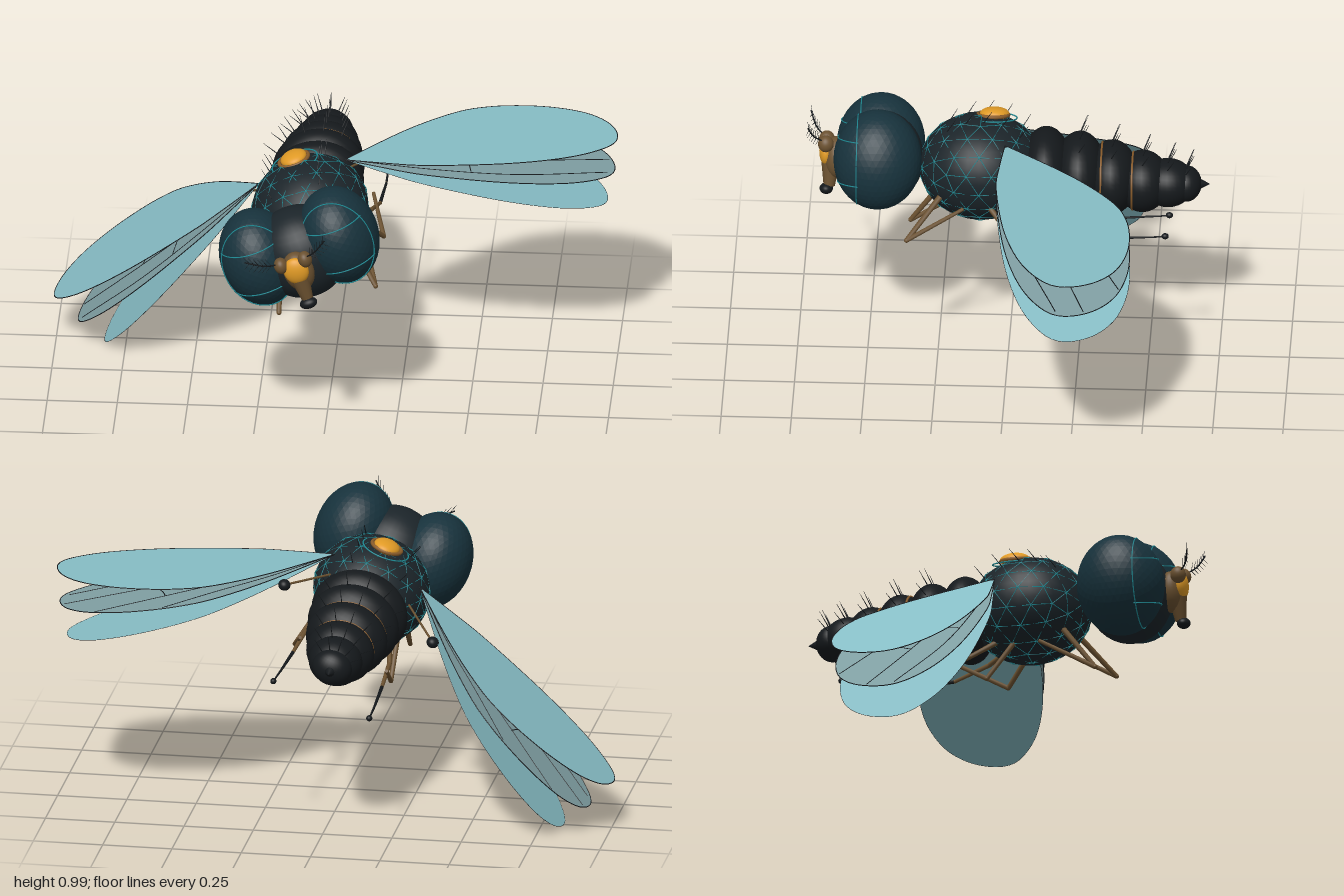
import * as THREE from 'three';
import { mergeGeometries } from 'three/addons/utils/BufferGeometryUtils.js';

const mat = (color, extra = {}) => new THREE.MeshStandardMaterial({ color, ...extra });
const V = (x, y, z) => new THREE.Vector3(x, y, z);

export function createModel() {
  const eyeMat = mat(0x17323c, { flatShading: true });
  const shell = mat(0x1b2429);
  const dark = mat(0x15191c);
  const teal = mat(0x1f8c96);
  const amber = mat(0xe09a25);
  const brown = mat(0x6b5130);
  const bronze = mat(0x8a5c2a);
  const wingMats = [0x86bcc4, 0x7f9ea2, 0x86bcc4].map(c => mat(c, { side: THREE.DoubleSide }));

  const model = new THREE.Group();
  model.name = 'fly';
  // the whole insect banks to one side
  const body = new THREE.Group();
  body.name = 'bankedBody';
  body.position.set(-0.073, 0.725, 0);
  body.rotation.z = 0.332;
  model.add(body);

  const add = (name, geometry, material, parent = body) => {
    const mesh = new THREE.Mesh(geometry, material);
    mesh.name = name;
    parent.add(mesh);
    return mesh;
  };
  const ball = (name, material, p, r, parent) => {
    const m = add(name, new THREE.SphereGeometry(1, 32, 20), material, parent);
    m.position.set(...p);
    m.scale.set(...r);
    return m;
  };
  // tapered rod between two points
  const rod = (a, b, r0, r1 = r0, sides = 6) => {
    const d = b.clone().sub(a);
    const g = new THREE.CylinderGeometry(r1, r0, d.length(), sides);
    g.applyQuaternion(new THREE.Quaternion().setFromUnitVectors(V(0, 1, 0), d.normalize()));
    return g.translate((a.x + b.x) / 2, (a.y + b.y) / 2, (a.z + b.z) / 2);
  };
  const tube = (points, r, closed = false, segments = 48) =>
    new THREE.TubeGeometry(new THREE.CatmullRomCurve3(points, closed), segments, r, 5, closed);

  // thorax with a raised triangular lattice
  const T = V(0.21, 0.192, 0.22), tz = 0.1;
  ball('thorax', shell, [0, 0, tz], T.toArray());
  const edges = new THREE.EdgesGeometry(new THREE.IcosahedronGeometry(1.012, 2), 0.1).attributes.position;
  const lattice = [];
  for (let i = 0; i < edges.count; i += 2) {
    const [a, b] = [i, i + 1].map(k => V().fromBufferAttribute(edges, k).multiply(T));
    lattice.push(rod(a, b, 0.0014, 0.0014, 4));
  }
  add('thoraxLattice', mergeGeometries(lattice), teal).position.z = tz;

  // amber dome on the back
  ball('backDome', amber, [0, 0.19, 0.055], [0.048, 0.024, 0.053]);
  for (const [r, t, y, m] of [[0.054, 0.007, 0.187, bronze], [0.085, 0.0025, 0.176, teal]]) {
    const ring = add('domeRing', new THREE.TorusGeometry(r, t, 8, 40), m);
    ring.rotation.x = Math.PI / 2;
    ring.position.set(0, y, 0.06);
  }

  // abdomen: overlapping swollen segments, ringed towards the tail
  const hairs = [];
  const segments = [[-0.13, 0.175, -0.012], [-0.25, 0.166, -0.018], [-0.365, 0.148, -0.03],
    [-0.475, 0.123, -0.042], [-0.565, 0.097, -0.046], [-0.63, 0.072, -0.048]];
  segments.forEach(([z, r, y], i) => {
    ball('abdomenSegment', dark, [0, y, z], [r, r * 0.9, i < 5 ? 0.095 : 0.055]);
    if (i > 1) {
      const ring = add('abdomenRing', new THREE.TorusGeometry(r * 0.93, 0.004, 6, 40), bronze);
      ring.scale.y = 0.9;
      ring.position.set(0, y, z + 0.035);
    }
    if (i > 0) for (let k = -2; k <= 2; k++) {
      const a = k * 0.42, s = Math.sin(a), c = Math.cos(a);
      hairs.push(rod(V(s * r * 0.97, y + c * r * 0.87, z), V(s * (r + 0.05), y + c * (r * 0.9 + 0.06), z - 0.025), 0.0022, 0.0006, 4));
    }
  });
  const tail = add('tailTip', new THREE.ConeGeometry(0.045, 0.085, 20), dark);
  tail.rotation.x = -Math.PI / 2;
  tail.position.set(0, -0.048, -0.673);

  // bristles on the thorax
  for (const x of [-0.09, 0.09]) for (let k = 0; k < 5; k++) {
    const z = 0.22 - k * 0.065;
    const y = T.y * Math.sqrt(1 - (x / T.x) ** 2 - ((z - tz) / T.z) ** 2);
    hairs.push(rod(V(x, y, z), V(x * 1.2, y + 0.045, z - 0.03), 0.002, 0.0006, 4));
  }
  add('bristles', mergeGeometries(hairs), dark);

  // head and face
  ball('head', shell, [0, 0.02, 0.46], [0.17, 0.17, 0.155]);
  ball('facePlate', brown, [0, 0.02, 0.615], [0.055, 0.075, 0.045]);
  ball('faceDome', amber, [0, 0.04, 0.652], [0.045, 0.05, 0.025]);
  add('proboscis', rod(V(0, 0.0, 0.635), V(0, -0.085, 0.64), 0.034, 0.02, 14), brown);
  ball('proboscisTip', dark, [0, -0.095, 0.65], [0.032, 0.02, 0.024]);

  // wing outline from root to tip and back (outward, backward)
  const outline = [[0.15, -0.014], [0.3, -0.018], [0.575, 0.02], [0.785, 0.085], [0.915, 0.17], [0.955, 0.25],
    [0.925, 0.35], [0.845, 0.425], [0.73, 0.463], [0.605, 0.47], [0.48, 0.45], [0.365, 0.395], [0.2, 0.245], [0, 0]]
    .map(p => new THREE.Vector2(...p));
  const wingShape = new THREE.Shape().moveTo(0, 0);
  wingShape.splineThru(outline);
  const veins = [
    [[0, 0], [0.3, 0.03], [0.6, 0.09], [0.93, 0.22]],
    [[0, 0], [0.28, 0.1], [0.6, 0.2], [0.93, 0.32]],
    [[0, 0], [0.25, 0.16], [0.5, 0.29], [0.8, 0.44]],
    [[0, 0], [0.2, 0.19], [0.38, 0.32], [0.55, 0.455]],
    [[0.45, 0.06], [0.44, 0.11], [0.43, 0.155]],
    [[0.62, 0.205], [0.58, 0.27], [0.56, 0.325]]];

  for (const s of [1, -1]) {
    const side = s > 0 ? 'left' : 'right';
    const P = (x, y, z) => V(s * x, y, z);

    // compound eye with fine bands
    const eye = new THREE.Group();
    eye.name = side + 'Eye';
    eye.position.set(s * 0.15, 0.045, 0.463);
    body.add(eye);
    add('eyeball', new THREE.IcosahedronGeometry(1, 7), eyeMat, eye).scale.set(0.14, 0.18, 0.157);
    const band = f => tube(Array.from({ length: 25 }, (_, i) => f(i / 24)), 0.0022);
    add('eyeBand', band(t => {
      const a = t * Math.PI * 2;
      return V(0.126 * Math.cos(a), 0.162 * Math.sin(a), 0.071);
    }), teal, eye);
    for (const y of [-0.08, 0.08]) add('eyeBand', band(t => {
      const a = (0.15 + 0.7 * t) * Math.PI;
      return V(0.126 * Math.cos(a), y, 0.142 * Math.sin(a));
    }), teal, eye);

    // feathered antenna
    ball(side + 'AntennaBase', brown, [s * 0.045, 0.075, 0.652], [0.025, 0.03, 0.028]);
    const path = new THREE.CatmullRomCurve3([P(0.05, 0.085, 0.66), P(0.095, 0.11, 0.692), P(0.151, 0.154, 0.714)]);
    const feather = [new THREE.TubeGeometry(path, 12, 0.0028, 5)];
    for (let k = 2; k < 8; k++) {
      const p = path.getPoint(k / 8);
      for (const d of [P(0.012, 0.032, 0.005), P(0.025, -0.015, 0.01)])
        feather.push(rod(p, p.clone().add(d), 0.0014, 0.0006, 4));
    }
    add(side + 'Antenna', mergeGeometries(feather.map(g => g.toNonIndexed())), dark);

    // wing beat: three blades fanned from one root
    [-0.342, -0.475, -0.604].forEach((angle, i) => {
      const wing = new THREE.Group();
      wing.name = side + 'Wing' + (i + 1);
      wing.position.set(s * 0.162, 0.108, 0.01);
      wing.rotation.z = s * angle;
      body.add(wing);
      const blade = new THREE.ShapeGeometry(wingShape, 6).rotateX(-Math.PI / 2).scale(s, 1, 1);
      add('wingBlade', blade, wingMats[i], wing);
      const rim = wingShape.getPoints(6).map(p => P(p.x, 0, -p.y));
      add('wingRim', tube(rim, i < 2 ? 0.0018 : 0.0008, false, 90), dark, wing);
      if (i === 1) for (const v of veins)
        add('wingVein', tube(v.map(([x, y]) => P(x, 0, -y)), 0.002, false, 16), dark, wing);
    });

    // haltere behind the wing
    add(side + 'HaltereStalk', rod(P(0.15, 0.05, -0.04), P(0.283, 0.008, -0.19), 0.004), brown);
    ball(side + 'HaltereKnob', dark, [s * 0.283, 0.008, -0.19], [0.022, 0.02, 0.024]);

    // legs: jointed rods, thinner towards the foot
    const legs = {
      FrontLeg: [[0.13, -0.09, 0.24], [0.182, -0.24, 0.355], [0.165, -0.125, 0.155]],
      MiddleLeg: [[0.14, -0.1, 0.08], [0.183, -0.245, -0.04], [0.165, -0.15, -0.21]],
      RearLeg: [[0.12, -0.11, 0], [0.16, -0.16, -0.1], [0.17, -0.205, -0.23], [0.178, -0.215, -0.4], [0.183, -0.205, -0.56]]
    };
    for (const [name, pts] of Object.entries(legs)) {
      const leg = new THREE.Group();
      leg.name = side + name;
      body.add(leg);
      const p = pts.map(q => P(...q));
      for (let k = 0; k + 1 < p.length; k++) {
        const r = 0.0105 - 0.002 * k;
        add('legSegment', rod(p[k], p[k + 1], r, r - 0.002, 8), k < 2 ? brown : dark, leg);
        if (k) ball('legJoint', brown, pts[k].map((v, j) => j ? v : s * v), [r, r, r], leg);
      }
      if (name === 'RearLeg') ball('foot', dark, [s * 0.183, -0.203, -0.565], [0.011, 0.011, 0.013], leg);
    }
  }
  return model;
}
